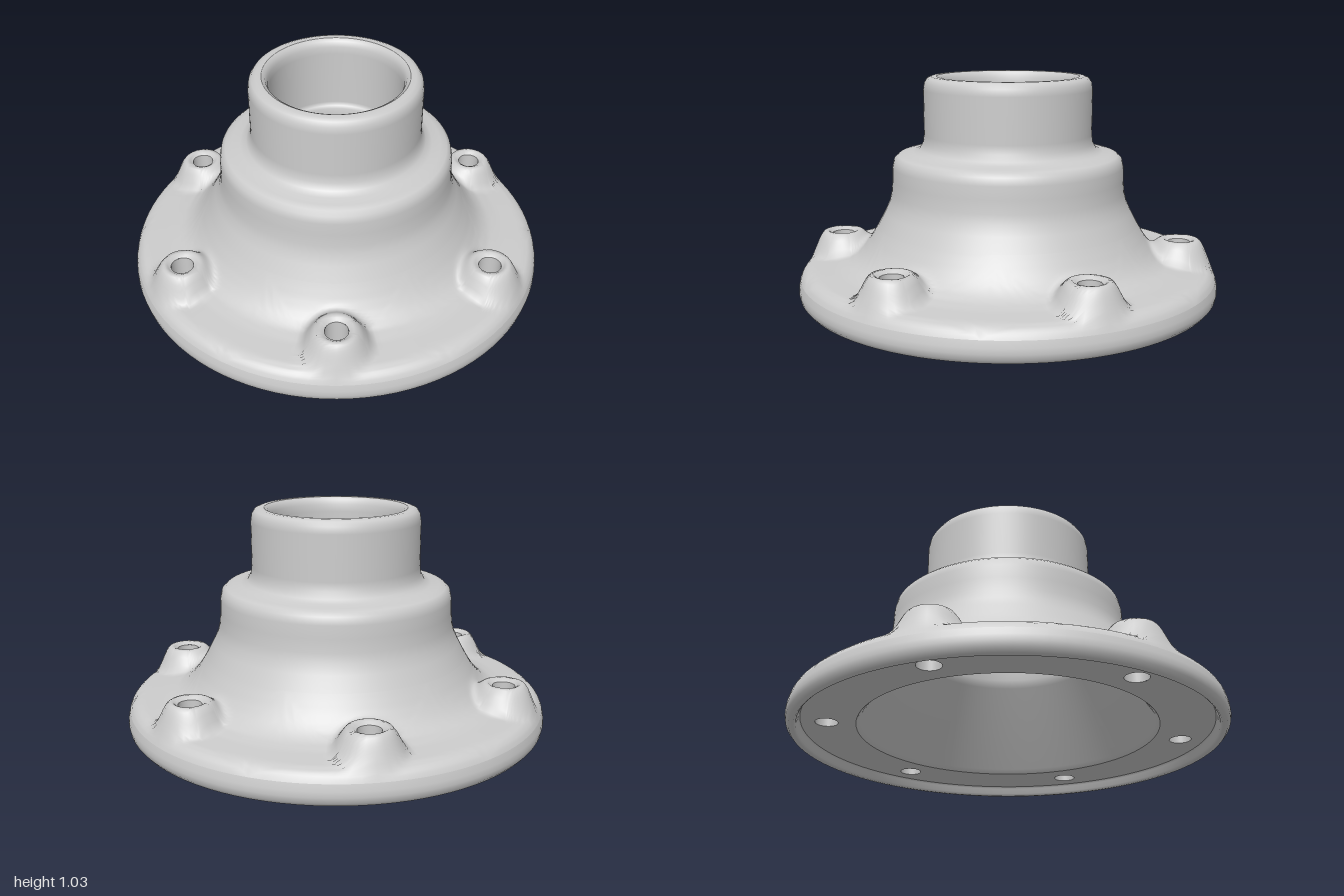
import * as THREE from 'three';
import { mergeVertices } from 'three/addons/utils/BufferGeometryUtils.js';

const BOLTS = 6, BOLT_R = 0.82, HOLE_R = 0.052, BOSS_TOP = 0.275, UNDER = 0.055;

// Upper face of the flange: height by radius
const SLOPE = [[0.6, 0.38], [0.63, 0.325], [0.66, 0.275], [0.69, 0.235], [0.72, 0.205], [0.76, 0.18],
  [0.82, 0.167], [0.93, 0.158], [0.96, 0.148], [0.98, 0.13], [0.99, 0.11]];

function slopeHeight(r) {
  for (let i = 1; i < SLOPE.length; i++) {
    const [r0, y0] = SLOPE[i - 1], [r1, y1] = SLOPE[i];
    if (r <= r1) return THREE.MathUtils.lerp(y0, y1, (r - r0) / (r1 - r0));
  }
  return SLOPE[SLOPE.length - 1][1];
}

// Slope with a rounded boss raised around the bolt hole of the sector
function topHeight(r, a) {
  const d = Math.hypot(r * Math.cos(a) - BOLT_R, r * Math.sin(a));
  const y = slopeHeight(r);
  const lip = 0.015 * (1 - THREE.MathUtils.smoothstep(d, HOLE_R, HOLE_R + 0.025));
  return y + Math.max(0, BOSS_TOP - y) * (1 - THREE.MathUtils.smoothstep(d, 0.085, 0.17)) - lip;
}

// Ring made of equal sectors, each a grid running from its bolt hole out to the sector border
function drilledRing(rIn, rOut, height, faceUp) {
  const half = Math.PI / BOLTS, n = 16, rings = 18;
  const border = [];
  for (let i = 0; i < n; i++) border.push([rOut, -half + 2 * half * i / n]);
  for (let i = 0; i < n; i++) border.push([rOut + (rIn - rOut) * i / n, half]);
  for (let i = 0; i < n; i++) border.push([rIn, half - 2 * half * i / n]);
  for (let i = 0; i < n; i++) border.push([rIn + (rOut - rIn) * i / n, -half]);
  const pos = [], index = [], m = border.length;
  for (let s = 0; s < BOLTS; s++) {
    const base = pos.length / 3;
    for (let i = 0; i <= rings; i++) {
      const t = i / rings;
      for (const [rb, ab] of border) {
        const dir = Math.atan2(BOLT_R * ab, rb - BOLT_R);
        const hx = BOLT_R + HOLE_R * Math.cos(dir), hz = HOLE_R * Math.sin(dir);
        const r = THREE.MathUtils.lerp(Math.hypot(hx, hz), rb, t);
        const a = THREE.MathUtils.lerp(Math.atan2(hz, hx), ab, t);
        const w = a + 2 * half * s;
        pos.push(r * Math.cos(w), height(r, a), r * Math.sin(w));
      }
    }
    for (let i = 0; i < rings; i++) for (let j = 0; j < m; j++) {
      const k = (j + 1) % m;
      const a = base + i * m + j, b = a + m, c = base + (i + 1) * m + k, d = base + i * m + k;
      if (faceUp) index.push(a, c, b, a, d, c);
      else index.push(a, b, c, a, c, d);
    }
  }
  const g = new THREE.BufferGeometry();
  g.setAttribute('position', new THREE.Float32BufferAttribute(pos, 3));
  g.setIndex(index);
  const merged = mergeVertices(g, 1e-4);
  merged.computeVertexNormals();
  return merged;
}

const lathe = pts => new THREE.LatheGeometry(pts.map(p => new THREE.Vector2(...p)), 96);

export function createModel() {
  const group = new THREE.Group();
  const grey = new THREE.MeshStandardMaterial({ color: 0xcccccc });
  const wall = new THREE.MeshStandardMaterial({ color: 0xcccccc, side: THREE.DoubleSide });
  const add = (name, geometry, material = grey) => {
    const mesh = new THREE.Mesh(geometry, material);
    mesh.name = name;
    group.add(mesh);
    return mesh;
  };

  // Bell, shoulder and neck
  add('hubOuter', lathe([[0.62, slopeHeight(0.62)], [0.585, 0.41], [0.565, 0.455], [0.555, 0.5], [0.55, 0.56],
    [0.548, 0.62], [0.54, 0.655], [0.52, 0.673], [0.49, 0.68], [0.45, 0.687], [0.42, 0.7], [0.403, 0.73],
    [0.398, 0.77], [0.398, 0.98], [0.393, 1.012], [0.38, 1.032], [0.36, 1.04], [0.335, 1.04]]));

  // Stepped bore and hollow cone beneath
  add('hubBore', lathe([[0.335, 1.04], [0.318, 1.03], [0.308, 1.005], [0.305, 0.97], [0.305, 0.7],
    [0.3, 0.68], [0.28, 0.675], [0.28, 0.6], [0.29, 0.59], [0.4, 0.585], [0.415, 0.575],
    [0.42, 0.55], [0.425, 0.48], [0.44, 0.44], [0.67, 0.075], [0.69, UNDER]]));

  // Flange: rim with a lip below, drilled upper face with bosses, drilled underside
  add('flangeRim', lathe([[0.935, UNDER], [0.943, 0.045], [0.95, 0.02], [0.96, 0.01], [0.98, 0.012],
    [0.995, 0.03], [1, 0.055], [0.998, 0.08], [0.99, 0.11]]));
  add('flangeTop', drilledRing(0.62, 0.99, topHeight, true));
  add('flangeUnderside', drilledRing(0.69, 0.935, () => UNDER, false));

  // Bolt hole walls
  const holeTop = BOSS_TOP - 0.015;
  const tube = new THREE.CylinderGeometry(HOLE_R, HOLE_R, holeTop - UNDER, 32, 1, true);
  for (let i = 0; i < BOLTS; i++) {
    const a = i * 2 * Math.PI / BOLTS;
    add('boltHole', tube, wall).position.set(BOLT_R * Math.cos(a), (holeTop + UNDER) / 2, BOLT_R * Math.sin(a));
  }
  return group;
}
